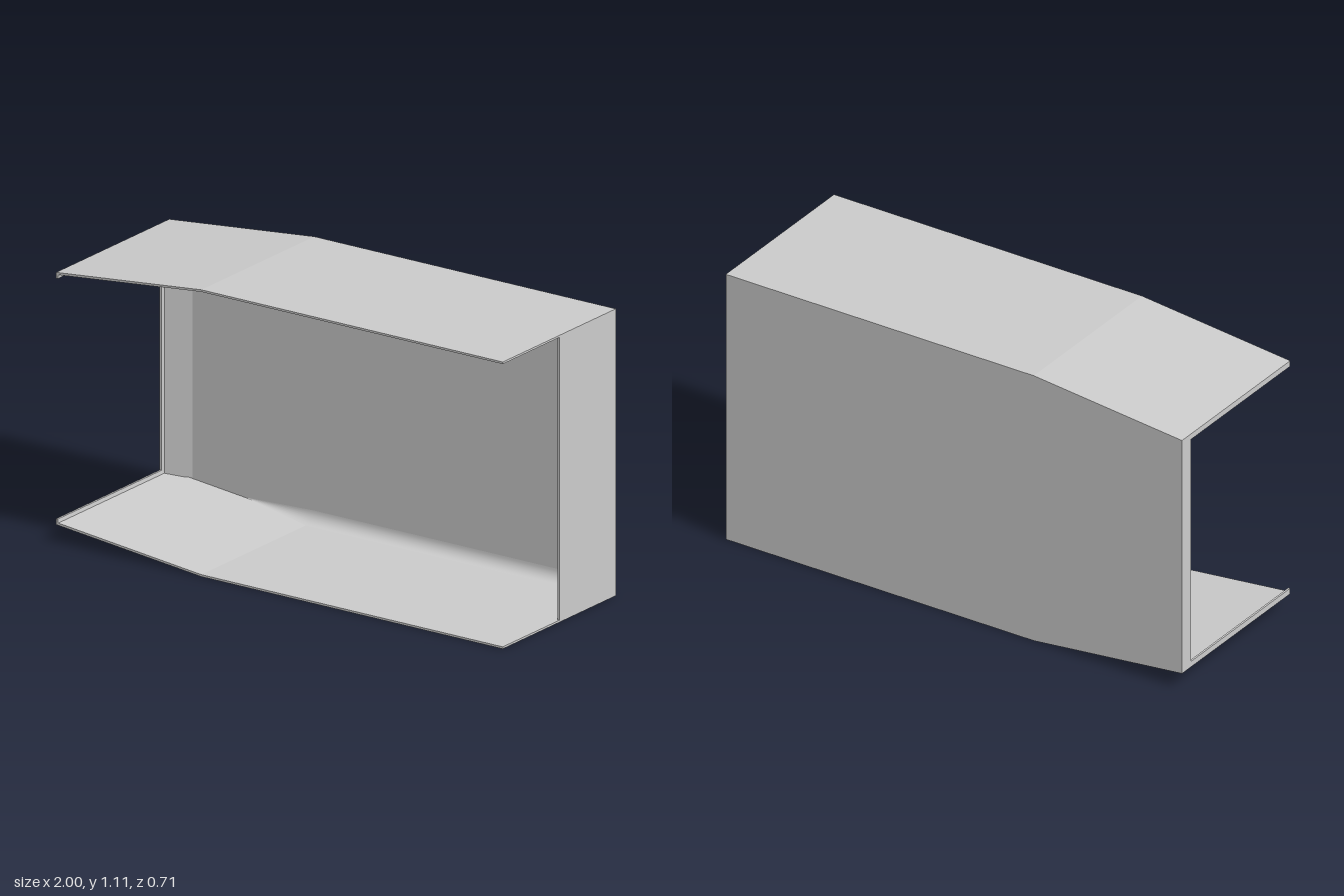
import * as THREE from 'three';

const H = 1.11, D = 0.355, T = 0.008, BEND = -0.35, TAPER = 0.067;

export function createModel() {
  const group = new THREE.Group();
  const grey = new THREE.MeshStandardMaterial({ color: 0xcccccc });
  const thin = new THREE.MeshStandardMaterial({ color: 0xcccccc, side: THREE.DoubleSide });

  const add = (name, geometry, material = grey) => {
    const mesh = new THREE.Mesh(geometry, material);
    mesh.name = name;
    group.add(mesh);
    return mesh;
  };
  const extrude = (points, depth) => new THREE.ExtrudeGeometry(
    new THREE.Shape(points.map(([x, y]) => new THREE.Vector2(x, y))),
    { depth, bevelEnabled: false });

  // Back wall, tapering towards the open end
  add('backWall', extrude([
    [1, 0], [1, H], [BEND, H], [-1, H - TAPER], [-1, TAPER], [BEND, 0],
  ], T)).position.z = -D;

  // Closed end, covering the rear half of the depth
  add('endWall', new THREE.BoxGeometry(T, H, D)).position.set(1 - T / 2, H / 2, -D / 2);

  // Thickened rim of the back wall at the open end (plan section raised along y)
  const rim = extrude([
    [-1, D], [-1, 0.295], [-0.992, 0.295], [-0.99, 0.31], [-0.89, D - T], [-0.89, D],
  ], H - 2 * TAPER - 0.002);
  rim.rotateX(-Math.PI / 2);
  add('backRim', rim).position.y = TAPER + 0.001;

  for (const top of [false, true]) {
    const side = top ? 'top' : 'bottom';
    const flip = (y) => (top ? H - y : y);

    // Bent panel with a small inward lip at the open end
    add(side + 'Panel', extrude([
      [1, 0], [1, T], [BEND, T], [-0.99, TAPER + T], [-0.992, 0.09],
      [-1, 0.09], [-1, TAPER], [BEND, 0],
    ].map(([x, y]) => [x, flip(y)]), 2 * D)).position.z = -D;

    // Concave fillet in the rear corner, fading out along the taper
    const fillet = new THREE.PlaneGeometry(1, 1, 2, 8);
    const p = fillet.attributes.position;
    const xs = [1 - T, BEND, -0.65];
    for (let i = 0; i < p.count; i++) {
      const k = i % 3;
      const angle = (Math.floor(i / 3) / 8) * Math.PI / 2;
      const r = k === 2 ? 0.002 : 0.045;
      const floor = T + (k === 2 ? TAPER * (BEND + 0.65) / (1 + BEND) : 0);
      p.setXYZ(i, xs[k], flip(floor + r * (1 - Math.sin(angle))),
        -D + T + r * (1 - Math.cos(angle)));
    }
    fillet.computeVertexNormals();
    add(side + 'Fillet', fillet, thin);
  }
  return group;
}
